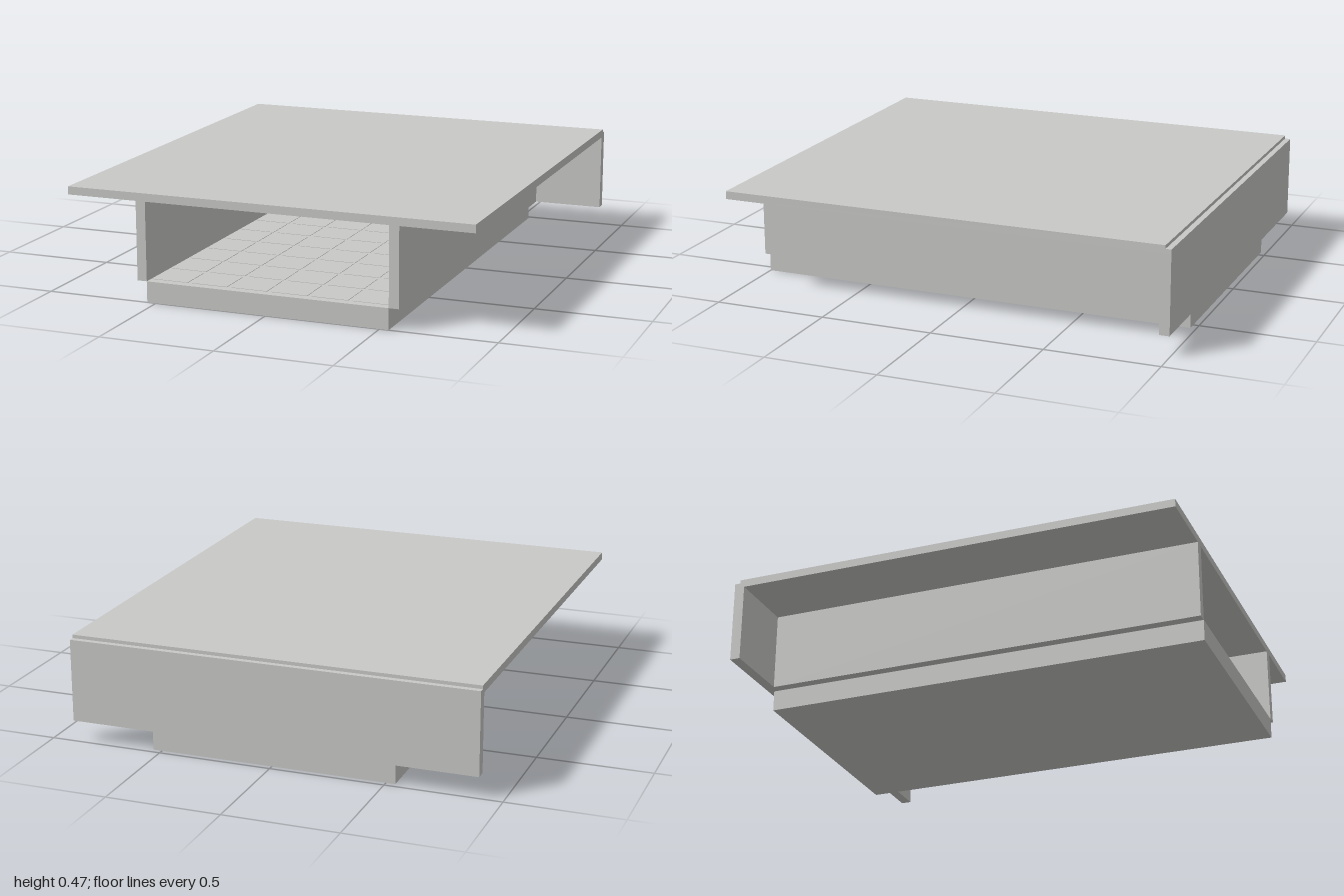
import * as THREE from 'three';

export function createModel() {
  const model = new THREE.Group();
  const grey = new THREE.MeshStandardMaterial({ color: 0xc8c8c6 });
  grey.name = 'light grey';

  // Box given by its minimum and maximum on each axis
  function board(name, [x0, x1], [y0, y1], [z0, z1], parent = model) {
    const mesh = new THREE.Mesh(new THREE.BoxGeometry(x1 - x0, y1 - y0, z1 - z0), grey);
    mesh.name = name;
    mesh.position.set((x0 + x1) / 2, (y0 + y1) / 2, (z0 + z1) / 2);
    parent.add(mesh);
  }

  // Top slab, and the rear panel with a step that receives the slab
  board('topSlab', [-0.9, 0.9], [0.435, 0.47], [-0.975, 1]);
  board('rearPanel', [-0.9, 0.9], [0.092, 0.435], [-1, -0.955]);
  board('rearPanelLip', [-0.9, 0.9], [0.435, 0.455], [-1, -0.975]);

  // Upright side boards under the slab
  board('leftSideBoard', [0.54, 0.583], [0.092, 0.435], [-0.955, 1]);
  board('rightSideBoard', [-0.583, -0.54], [0.092, 0.435], [-0.955, 1]);

  // Base block closing the channel from below
  board('base', [-0.54, 0.54], [0, 0.092], [-0.975, 1]);

  // Faint raised tiles on the channel floor
  const tiles = new THREE.Group();
  tiles.name = 'floorTiles';
  model.add(tiles);
  for (let i = 0; i < 6; i++) {
    for (let j = 0; j < 10; j++) {
      const x = (i - 2.5) * 0.18;
      const z = 0.88 - j * 0.18;
      board('floorTile', [x - 0.08, x + 0.08], [0.09, 0.094], [z - 0.08, z + 0.08], tiles);
    }
  }

  // Low inner rail at the back with five tabs
  board('innerRail', [-0.54, 0.54], [0.092, 0.22], [-0.955, -0.91]);
  for (let i = -2; i <= 2; i++) {
    board('railTab', [i * 0.181 - 0.022, i * 0.181 + 0.022], [0.22, 0.24], [-0.955, -0.91]);
  }

  return model;
}
